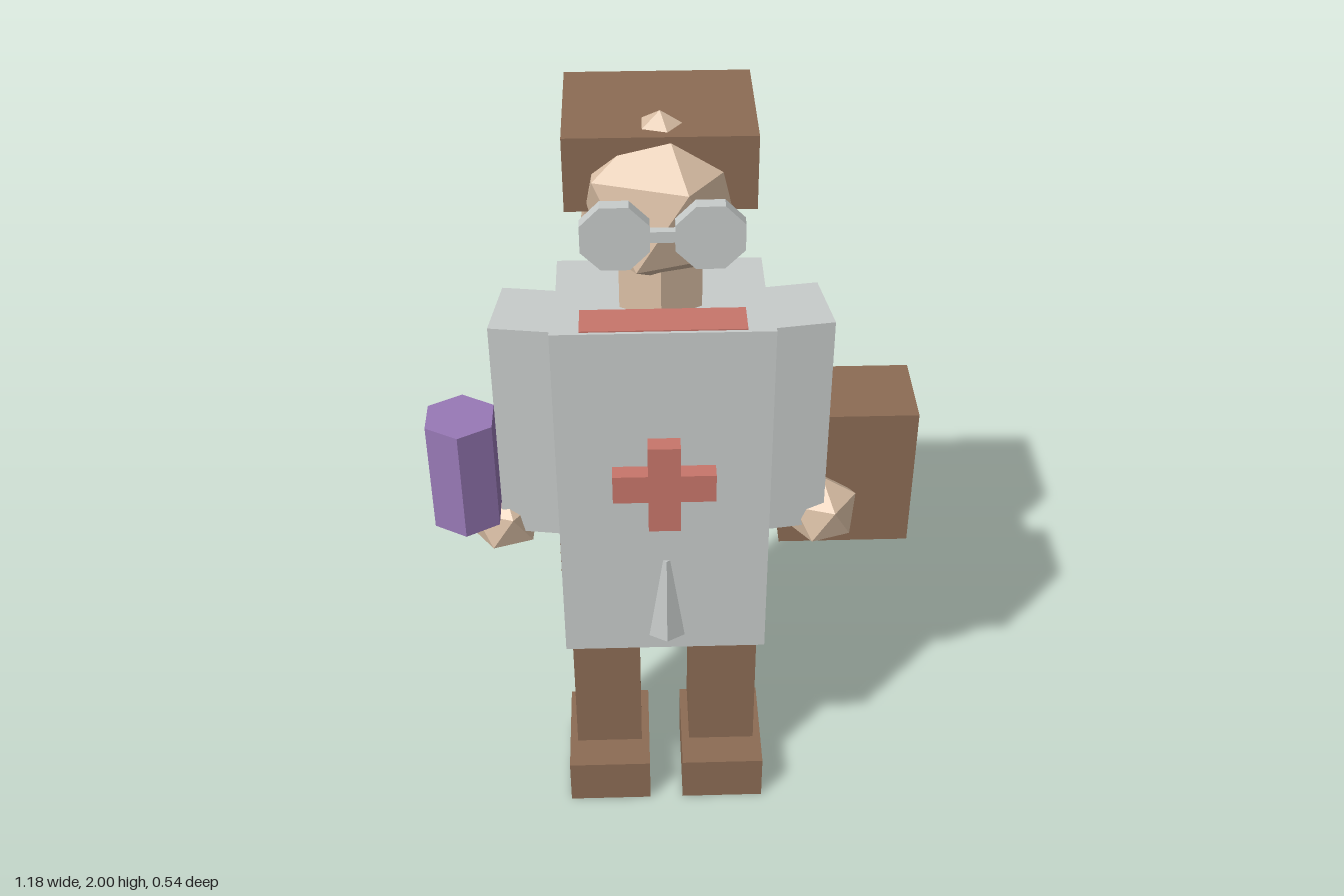
import * as THREE from 'three';

export function createModel() {
  const model = new THREE.Group();
  const mat = (name, color) => {
    const m = new THREE.MeshStandardMaterial({ color, flatShading: true });
    m.name = name;
    return m;
  };
  const cloth = mat('pale grey cloth', 0xc8cccb);
  const leather = mat('brown leather', 0x8c6c54);
  const skin = mat('skin', 0xdbc0a6);
  const red = mat('red', 0xc8766b);
  const purple = mat('purple', 0x9879b6);

  const MID = -0.047; // the body's own centre line

  const add = (name, geometry, material, x, y, z) => {
    const mesh = new THREE.Mesh(geometry, material);
    mesh.name = name;
    mesh.position.set(x, y, z);
    model.add(mesh);
    return mesh;
  };
  // Box given by its lower and upper limits on each axis
  const box = (name, material, [x0, x1], [y0, y1], [z0, z1]) =>
    add(name, new THREE.BoxGeometry(x1 - x0, y1 - y0, z1 - z0), material,
      (x0 + x1) / 2, (y0 + y1) / 2, (z0 + z1) / 2);
  // Icosahedron standing on a point
  const gem = (name, r, x, y, z) => {
    const tilt = Math.atan(2 / (1 + Math.sqrt(5)));
    return add(name, new THREE.IcosahedronGeometry(r).rotateZ(-tilt), skin, x, y, z);
  };
  const hex = (name, material, rTop, rBottom, h, x, y, z) =>
    add(name, new THREE.CylinderGeometry(rTop, rBottom, h, 6), material, x, y, z);

  // Torso and clothing
  box('torso', cloth, [-0.293, 0.198], [0.9, 1.53], [-0.177, 0.125]);
  box('apron', cloth, [-0.302, 0.207], [0.597, 1.555], [0.124, 0.188]);
  box('collar', red, [-0.235, 0.143], [1.48, 1.558], [0.09, 0.18]);
  box('belt', leather, [-0.305, 0.21], [0.82, 0.935], [-0.19, 0.143]);
  hex('skirt', cloth, 0.214, 0.235, 0.25, -0.043, 0.765, -0.021);

  // Cross on the apron
  box('crossUpright', red, [-0.086, -0.009], [1.02, 1.265], [0.185, 0.231]);
  box('crossBar', red, [-0.17, 0.075], [1.107, 1.184], [0.185, 0.23]);

  // Neck, head and hat
  hex('neck', skin, 0.11, 0.11, 0.15, MID - 0.002, 1.585, -0.02);
  gem('head', 0.207, MID, 1.793, -0.003);
  box('hat', leather, [-0.26, 0.165], [1.795, 1.97], [-0.27, 0.065]);

  // Glasses with eyes behind them
  box('glassesBridge', cloth, [-0.095, 0], [1.797, 1.823], [0.19, 0.21]);

  for (const side of [-1, 1]) {
    const label = side > 0 ? 'left' : 'right';
    const at = (d) => MID + side * d;

    const lens = new THREE.CylinderGeometry(0.081, 0.081, 0.032, 8)
      .rotateY(Math.PI / 8).rotateX(Math.PI / 2);
    add(label + 'Lens', lens, cloth, at(0.102), 1.81, 0.2);
    box(label + 'Eye', leather, [at(0.073) - 0.03, at(0.073) + 0.03], [1.79, 1.83], [0.13, 0.186]);

    // Arms turn slightly towards the front
    const arm = add(label + 'Arm', new THREE.BoxGeometry(0.165, 0.6, 0.18), cloth,
      at(0.308), 1.19, -0.023);
    arm.rotation.y = side * 0.145;
    gem(label + 'Hand', 0.098, at(0.402), 0.896, 0);

    const leg = at(0.155);
    box(label + 'Leg', leather, [leg - 0.089, leg + 0.089], [0.1, 0.775], [-0.113, 0.073]);
    box(label + 'Shoe', leather, [leg - 0.11, leg + 0.11], [0, 0.135], [-0.118, 0.166]);
  }

  // Carried items
  box('bag', leather, [0.255, 0.59], [0.765, 1.163], [-0.246, -0.024]);
  hex('bottle', purple, 0.088, 0.088, 0.287, -0.517, 1.188, 0.178);

  return model;
}
